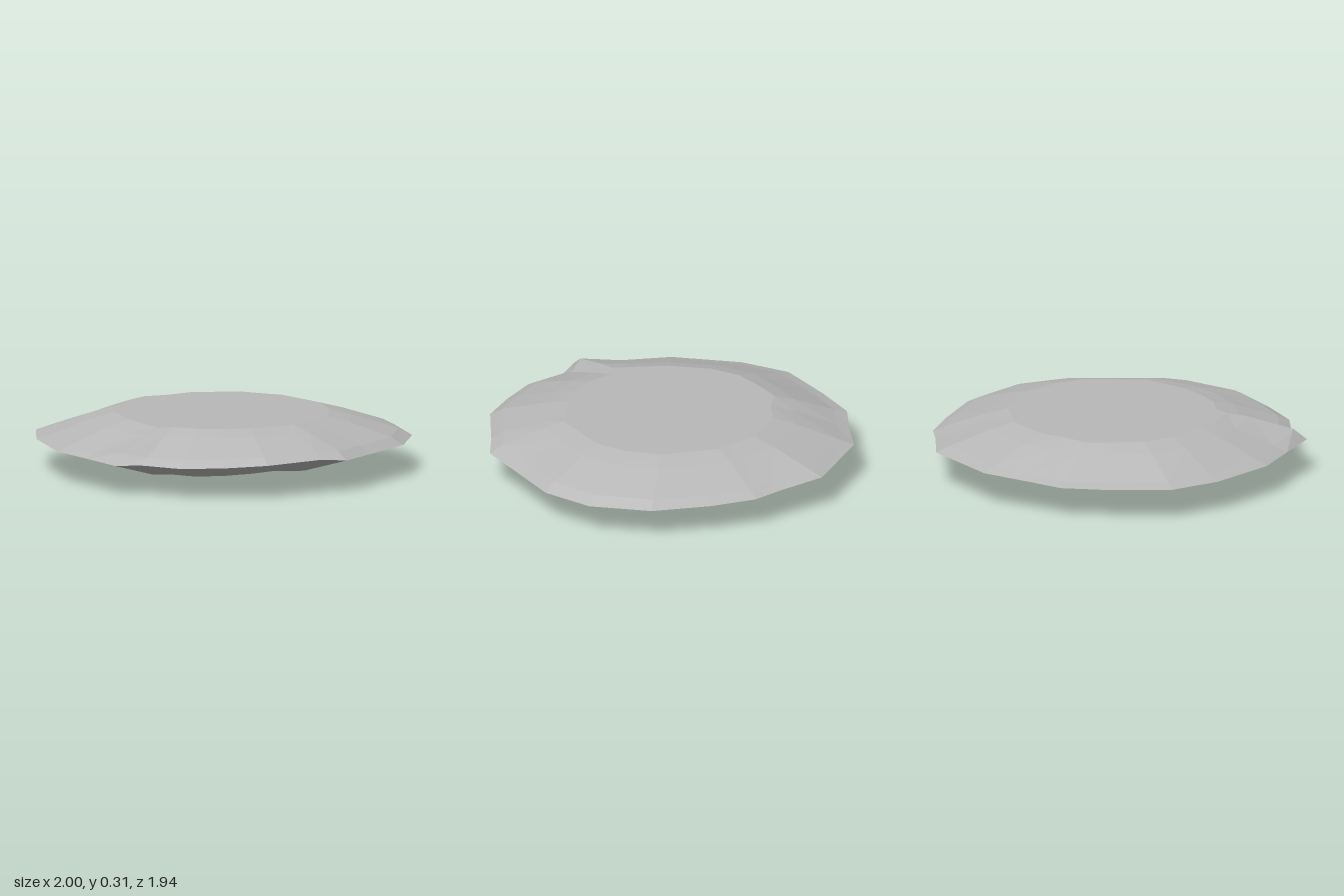
import * as THREE from 'three';

// Outer rim: x, z, height
const rim = [
  [-0.22, -0.97, 0.19], [0.23, -0.97, 0.19], [0.45, -0.82, 0.18], [0.59, -0.74, 0.175], [0.75, -0.55, 0.17], [0.93, -0.28, 0.17],
  [1, 0.05, 0.17], [0.93, 0.33, 0.17], [0.74, 0.58, 0.17], [0.59, 0.79, 0.175], [0.45, 0.84, 0.19], [0.15, 0.97, 0.185],
  [-0.08, 0.97, 0.175], [-0.31, 0.94, 0.17], [-0.51, 0.82, 0.17], [-0.65, 0.82, 0.17], [-0.78, 0.6, 0.17], [-0.92, 0.37, 0.17],
  [-1, 0, 0.17], [-0.98, -0.28, 0.17], [-0.8, -0.55, 0.17], [-0.63, -0.76, 0.175], [-0.44, -0.85, 0.18],
];
// Edge of the flat top: x, z
const plateau = [
  [-0.13, -0.54], [0.13, -0.54], [0.27, -0.46], [0.34, -0.43], [0.43, -0.31], [0.53, -0.17], [0.56, 0.04], [0.53, 0.2],
  [0.41, 0.37], [0.34, 0.47], [0.28, 0.48], [0.09, 0.55], [-0.05, 0.55], [-0.18, 0.54], [-0.31, 0.47], [-0.39, 0.49],
  [-0.46, 0.36], [-0.53, 0.22], [-0.58, 0], [-0.56, -0.17], [-0.47, -0.33], [-0.39, -0.44], [-0.27, -0.47],
];
const NOTCH = 15; // raised corner of the chipped edge

const scaledRim = (s, height) => rim.map(([x, z, y], i) => [x * s, height(i, y), z * s]);

// Skins neighbouring rings, listed from the bottom up
function loft(rings) {
  const positions = [];
  const n = rings[0].length;
  for (let r = 0; r < rings.length - 1; r++) {
    const lo = rings[r], hi = rings[r + 1];
    for (let i = 0; i < n; i++) {
      const j = (i + 1) % n;
      if (r > 0) positions.push(...lo[j], ...lo[i], ...hi[i]);
      if (r < rings.length - 2) positions.push(...lo[j], ...hi[i], ...hi[j]);
      // The first and last rings are single points, so one triangle per side is enough
    }
  }
  const geometry = new THREE.BufferGeometry();
  geometry.setAttribute('position', new THREE.Float32BufferAttribute(positions, 3));
  geometry.computeVertexNormals();
  return geometry;
}

export function createModel() {
  const group = new THREE.Group();
  group.name = 'flatStone';
  const stone = new THREE.MeshStandardMaterial({ color: 0xb8b8b8 });
  stone.name = 'grey stone';
  stone.flatShading = true;

  // Light bevel: tallest along the front right
  const bevelY = (i, y) => {
    const [x, z] = rim[i];
    return y + 0.03 + 0.008 * (x + z) + (i === NOTCH ? 0.025 : 0);
  };
  const bevel = scaledRim(0.93, bevelY);
  const edge = plateau.map(([x, z]) => [x, 0.311, z]);
  // Shoulder bulges slightly between plateau and bevel
  const shoulder = edge.map((p, i) => [
    THREE.MathUtils.lerp(p[0], bevel[i][0], 0.34),
    THREE.MathUtils.lerp(p[1], bevel[i][1], 0.34) + 0.006,
    THREE.MathUtils.lerp(p[2], bevel[i][2], 0.34),
  ]);

  const rings = [
    rim.map(() => [0, 0, 0]),
    scaledRim(0.18, () => 0.007),
    scaledRim(0.65, (i, y) => y - 0.103),
    scaledRim(1, (i, y) => y),
    bevel,
    shoulder,
    edge,
    rim.map(() => [0, 0.315, 0]),
  ];
  const body = new THREE.Mesh(loft(rings), stone);
  body.name = 'stoneBody';
  group.add(body);
  return group;
}
